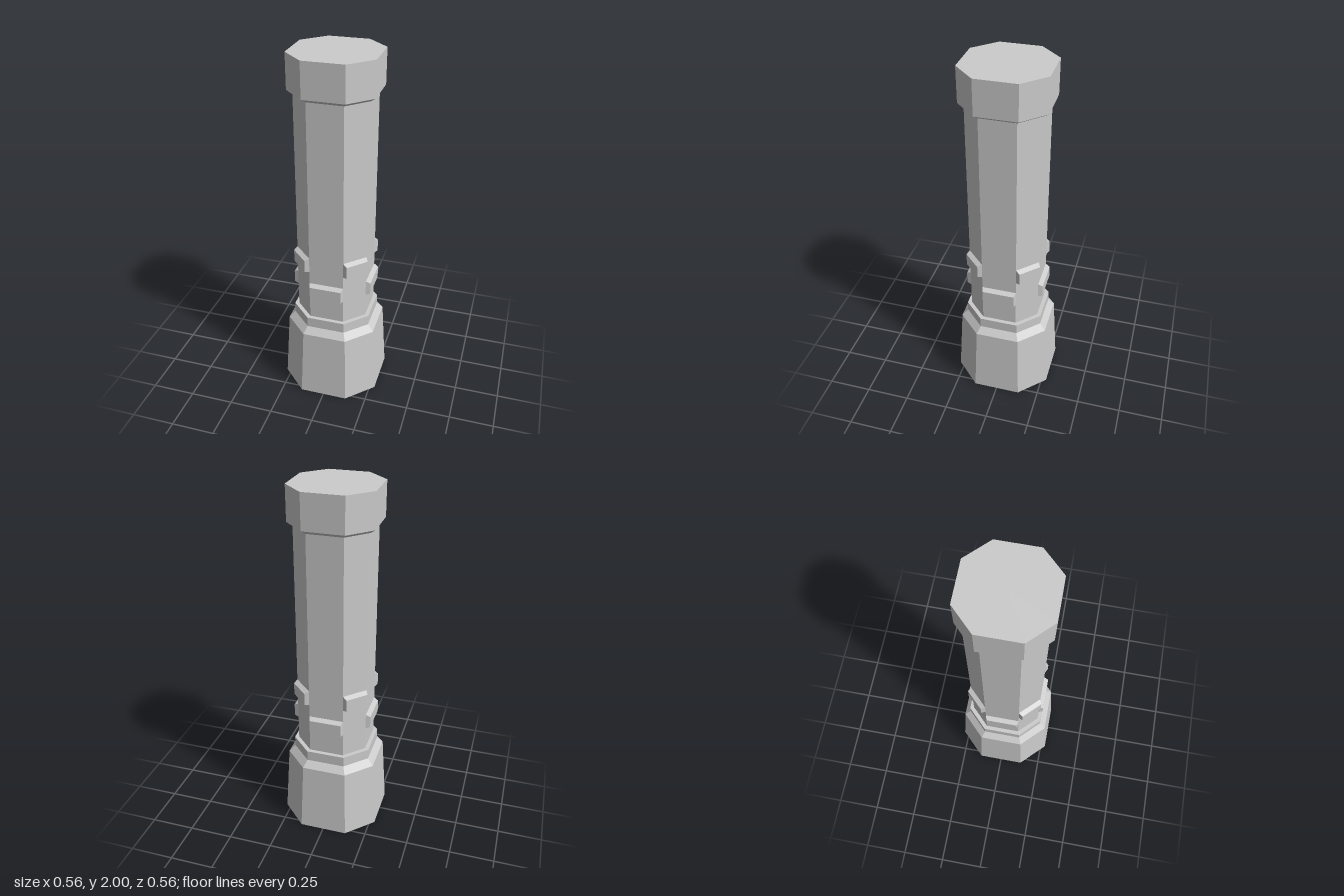
import * as THREE from 'three';

const material = new THREE.MeshStandardMaterial({ color: 0xcccccc, flatShading: true, side: THREE.DoubleSide });
const SIDE_RATIO = 0.485; // half width of a main face / its distance from the axis
const BODY = 0.2;

// Eight-sided loft of [distance to main face, height] points, main faces wider than the diagonals
function octagon(name, profile) {
  const points = profile.map(([a, y]) => new THREE.Vector2(a / Math.cos(Math.PI / 8), y));
  const geometry = new THREE.LatheGeometry(points, 8, Math.PI / 8);
  const widen = SIDE_RATIO / Math.tan(Math.PI / 8);
  const pos = geometry.attributes.position;
  for (let i = 0; i < pos.count; i++) {
    const x = pos.getX(i), z = pos.getZ(i);
    if (Math.abs(x) < Math.abs(z)) pos.setX(i, x * widen);
    else pos.setZ(i, z * widen);
  }
  const flat = geometry.toNonIndexed();
  flat.computeVertexNormals();
  const mesh = new THREE.Mesh(flat, material);
  mesh.name = name;
  return mesh;
}

// Raised pad whose outer face is slightly smaller than its foot
function pad(name, halfWidth, distance, y, angle) {
  const depth = 0.025, sink = 0.01, height = 0.09;
  const geometry = new THREE.BoxGeometry(halfWidth * 2, height, depth);
  const pos = geometry.attributes.position;
  for (let i = 0; i < pos.count; i++) {
    if (pos.getZ(i) > 0) {
      pos.setX(i, pos.getX(i) * (1 - 0.0075 / halfWidth));
      pos.setY(i, pos.getY(i) > 0 ? height / 2 - 0.014 : -height / 2 + 0.006);
    } else {
      pos.setZ(i, -depth / 2);
    }
  }
  geometry.translate(0, y, distance + depth / 2);
  geometry.rotateY(angle);
  geometry.computeVertexNormals();
  const mesh = new THREE.Mesh(geometry, material);
  mesh.name = name;
  return mesh;
}

export function createModel() {
  const model = new THREE.Group();
  model.name = 'octagonalHandle';

  // Hollow flared foot with shoulder and collar
  model.add(octagon('flaredBase', [[0.279, 0], [0.255, 0.41], [0.222, 0.447], [0.222, 0.507], [BODY, 0.507]]));
  // Long shaft
  model.add(octagon('shaft', [[BODY, 0.507], [BODY, 1.79]]));
  // End cap with chamfered underside
  model.add(octagon('endCap', [[BODY, 1.79], [0.228, 1.81], [0.228, 2], [0, 2]]));

  // Lower pads on the main faces, upper pads on the diagonal faces
  const diagonalDistance = BODY * (1 + SIDE_RATIO) / Math.SQRT2;
  const diagonalHalf = BODY * (1 - SIDE_RATIO) / Math.SQRT2;
  for (let i = 0; i < 4; i++) {
    const angle = i * Math.PI / 2;
    model.add(pad('lowerPad', BODY * SIDE_RATIO, BODY, 0.69, angle));
    model.add(pad('upperPad', diagonalHalf, diagonalDistance, 0.853, angle + Math.PI / 4));
  }
  return model;
}
